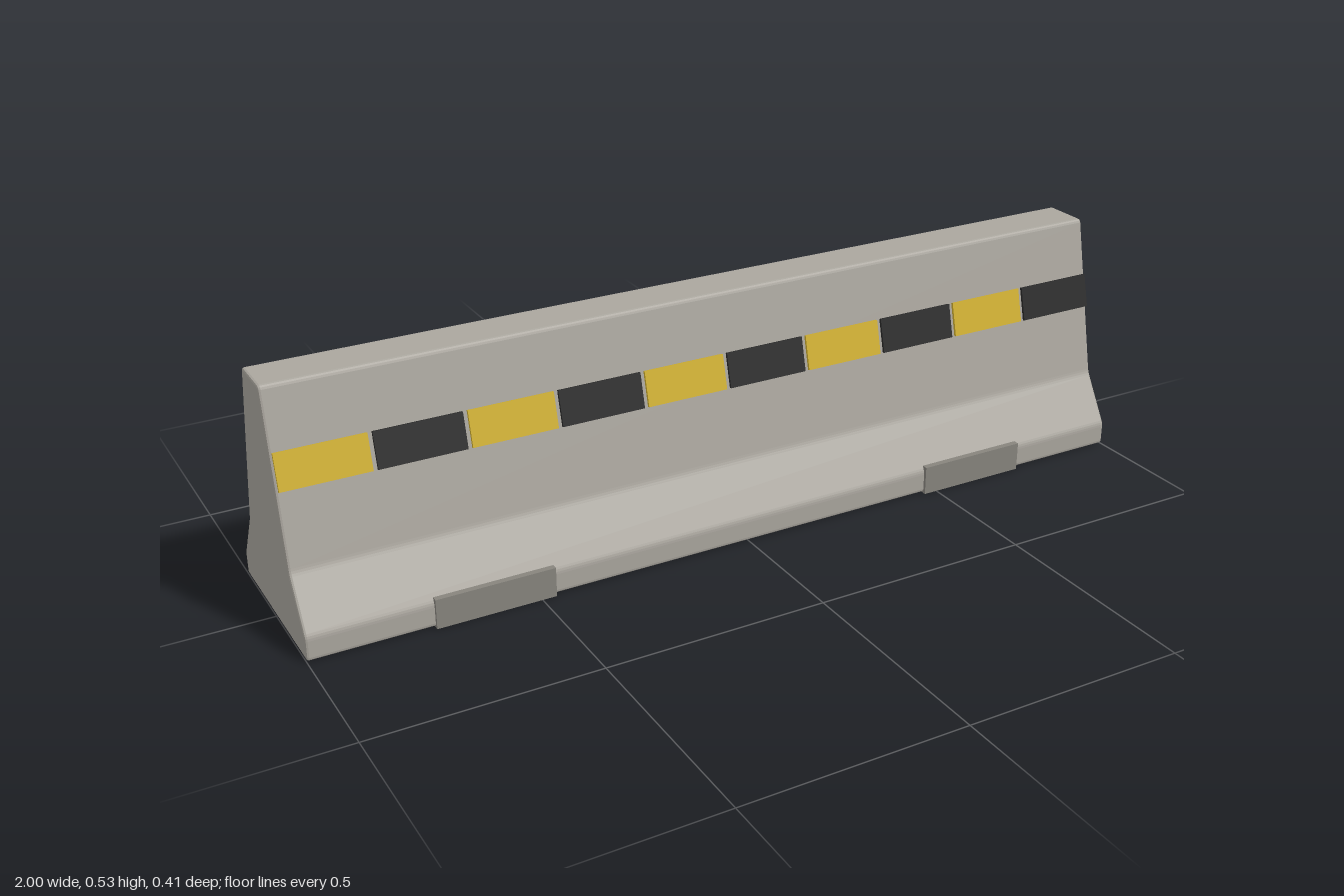
import * as THREE from 'three';

const material = (color) => new THREE.MeshStandardMaterial({ color });

// Closed outline with each corner softened by a small curve
function roundedOutline(corners, r) {
  const pts = corners.map(([x, y]) => new THREE.Vector2(x, y));
  const shape = new THREE.Shape();
  pts.forEach((p, i) => {
    const prev = pts[(i + pts.length - 1) % pts.length];
    const next = pts[(i + 1) % pts.length];
    const a = p.clone().add(prev.clone().sub(p).setLength(r));
    const b = p.clone().add(next.clone().sub(p).setLength(r));
    if (i === 0) shape.moveTo(a.x, a.y);
    else shape.lineTo(a.x, a.y);
    shape.quadraticCurveTo(p.x, p.y, b.x, b.y);
  });
  shape.closePath();
  return shape;
}

export function createModel() {
  const group = new THREE.Group();
  group.name = 'roadBarrier';

  const concrete = material(0xaaa69e);
  const padGrey = material(0x87847d);
  const yellow = material(0xd0b030);
  const black = material(0x2a2a2a);

  // Concrete body: stepped profile swept along x, with softened ends
  const half = [[0.2, 0.002], [0.2, 0.055], [0.133, 0.167], [0.054, 0.534]];
  const corners = [...half, ...half.map(([x, y]) => [-x, y]).reverse()];
  const bevel = 0.005;
  const bodyGeometry = new THREE.ExtrudeGeometry(roundedOutline(corners, 0.008), {
    depth: 2 - 2 * bevel,
    bevelEnabled: true,
    bevelThickness: bevel,
    bevelSize: bevel,
    bevelOffset: -bevel,
    bevelSegments: 2,
    curveSegments: 3,
  });
  bodyGeometry.translate(0, 0, bevel - 1);
  bodyGeometry.rotateY(Math.PI / 2);
  const body = new THREE.Mesh(bodyGeometry, concrete);
  body.name = 'concreteBody';
  group.add(body);

  const stripeGeometry = new THREE.BoxGeometry(0.19, 0.078, 0.006);
  const padGeometry = new THREE.BoxGeometry(0.265, 0.067, 0.014);

  for (const side of [1, -1]) {
    const sideName = side > 0 ? 'front' : 'back';

    // Alternating warning stripes lying on the sloped face
    for (let i = 0; i < 10; i++) {
      const stripe = new THREE.Mesh(stripeGeometry, i % 2 ? black : yellow);
      stripe.name = `${sideName}Stripe${i + 1}`;
      stripe.position.set(-0.9 + i * 0.2, 0.368, side * 0.0965);
      stripe.rotation.x = -side * 0.25;
      group.add(stripe);
    }

    // Foot pads at the base
    for (const x of [-0.6, 0.6]) {
      const pad = new THREE.Mesh(padGeometry, padGrey);
      pad.name = `${sideName}${x > 0 ? 'Left' : 'Right'}FootPad`;
      pad.position.set(x, 0.0335, side * 0.2);
      group.add(pad);
    }
  }

  return group;
}
